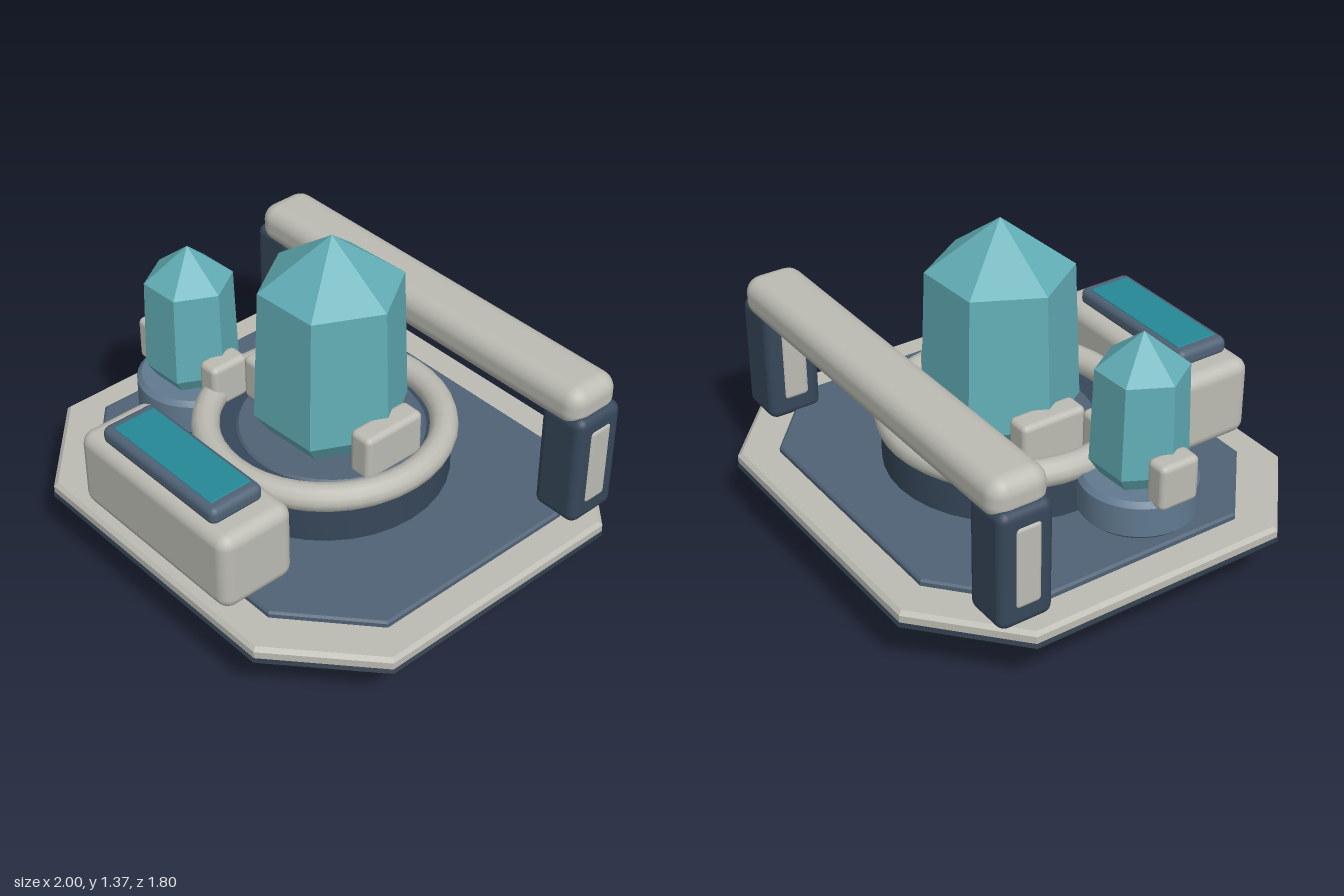
import * as THREE from 'three';
import { toCreasedNormals } from 'three/addons/utils/BufferGeometryUtils.js';
import { RoundedBoxGeometry } from 'three/addons/geometries/RoundedBoxGeometry.js';

const mat = (color, flatShading = false) => new THREE.MeshStandardMaterial({ color, flatShading });
const M = {
  hull: mat(0x263240),
  post: mat(0x36475a),
  deck: mat(0x4f6275),
  socket: mat(0x617a90),
  shell: mat(0xbcbcb4),
  screen: mat(0x268896),
  crystal: mat(0x62adb6, true),
};

function add(parent, name, geometry, material, x = 0, y = 0, z = 0) {
  const mesh = new THREE.Mesh(geometry, material);
  mesh.name = name;
  mesh.position.set(x, y, z);
  parent.add(mesh);
  return mesh;
}

// Rounded box given by its low and high corners
function box(parent, name, material, [x0, y0, z0], [x1, y1, z1], r, seg = 3) {
  const g = new RoundedBoxGeometry(x1 - x0, y1 - y0, z1 - z0, seg, r);
  return add(parent, name, g, material, (x0 + x1) / 2, (y0 + y1) / 2, (z0 + z1) / 2);
}

// Closed loft of a chamfered rectangle; each level is [y, halfX, halfZ, cornerX, cornerZ]
function octagonLoft(levels) {
  const pos = [], idx = [];
  for (const [y, hx, hz, cx, cz] of levels) {
    const ring = [[hx, cz], [cx, hz], [-cx, hz], [-hx, cz], [-hx, -cz], [-cx, -hz], [cx, -hz], [hx, -cz]];
    for (const [x, z] of ring) pos.push(x, y, z);
  }
  for (let l = 0; l < levels.length - 1; l++) {
    for (let i = 0; i < 8; i++) {
      const a = l * 8 + i, b = l * 8 + (i + 1) % 8;
      idx.push(a, a + 8, b, b, a + 8, b + 8);
    }
  }
  const top = (levels.length - 1) * 8;
  for (let i = 1; i < 7; i++) {
    idx.push(0, i, i + 1);
    idx.push(top, top + i + 1, top + i);
  }
  const g = new THREE.BufferGeometry();
  g.setAttribute('position', new THREE.Float32BufferAttribute(pos, 3));
  g.setIndex(idx);
  return toCreasedNormals(g, 0.3);
}

// Disc with bevelled edges
function disc(r, y0, y1, bevel) {
  const profile = [[0, y0], [r - bevel, y0], [r, y0 + bevel], [r, y1 - bevel], [r - bevel, y1], [0, y1]];
  const g = new THREE.LatheGeometry(profile.map(([x, y]) => new THREE.Vector2(x, y)), 36);
  return toCreasedNormals(g, 0.5);
}

// Six-sided crystal: narrow foot, slightly tapering shaft, pointed tip
function crystal(levels, turn) {
  const g = new THREE.LatheGeometry(levels.map(([r, y]) => new THREE.Vector2(r, y)), 6);
  g.rotateY(Math.PI / 2 + turn);
  return g;
}

export function createModel() {
  const model = new THREE.Group();
  model.name = 'crystalStation';

  // Hull, rim and deck
  add(model, 'hull', octagonLoft([
    [0, 0.74, 0.68, 0.465, 0.42],
    [0.012, 0.775, 0.715, 0.485, 0.44],
    [0.222, 0.995, 0.895, 0.617, 0.555],
    [0.232, 1, 0.9, 0.62, 0.56],
    [0.24, 0.98, 0.88, 0.61, 0.55],
  ]), M.hull);
  add(model, 'rim', octagonLoft([
    [0.238, 0.98, 0.88, 0.61, 0.55],
    [0.25, 0.995, 0.895, 0.618, 0.558],
    [0.28, 0.995, 0.895, 0.618, 0.558],
    [0.295, 0.98, 0.88, 0.61, 0.55],
  ]), M.shell);
  add(model, 'deck', octagonLoft([
    [0.29, 0.86, 0.75, 0.53, 0.46],
    [0.312, 0.86, 0.75, 0.53, 0.46],
    [0.32, 0.85, 0.742, 0.526, 0.456],
  ]), M.deck);

  // Central pedestal with its ring
  add(model, 'pedestal', disc(0.505, 0.31, 0.475, 0.01), M.post);
  const ring = add(model, 'pedestalRing', new THREE.TorusGeometry(0.474, 0.057, 12, 40), M.shell, 0, 0.513, 0);
  ring.rotation.x = Math.PI / 2;

  // Large crystal, socket and clamps
  const large = new THREE.Group();
  large.name = 'largeCrystal';
  large.position.z = -0.035;
  model.add(large);
  add(large, 'largeSocket', disc(0.38, 0.46, 0.49, 0.01), M.deck);
  add(large, 'largeShaft', crystal([[0, 0.485], [0.25, 0.485], [0.314, 0.575], [0.29, 1.15], [0, 1.365]], 0.05), M.crystal);
  for (const s of [-1, 1]) {
    box(large, 'largeClamp', M.shell, [s * 0.317 - 0.055, 0.475, -0.145], [s * 0.317 + 0.055, 0.675, 0.145], 0.025);
  }

  // Small crystal, socket and clamps
  const small = new THREE.Group();
  small.name = 'smallCrystal';
  small.position.set(-0.62, 0, 0.172);
  model.add(small);
  add(small, 'smallSocket', disc(0.233, 0.335, 0.5, 0.02), M.socket);
  add(small, 'smallShaft', crystal([[0, 0.495], [0.145, 0.495], [0.192, 0.565], [0.18, 0.955], [0, 1.105]], 0.04), M.crystal);
  for (const s of [-1, 1]) {
    box(small, 'smallClamp', M.shell, [s * 0.202 - 0.05, 0.475, -0.088], [s * 0.202 + 0.05, 0.67, 0.088], 0.025);
  }

  // Rear posts with inlaid side panels, joined by a crossbar
  for (const s of [-1, 1]) {
    box(model, 'rearPost', M.post, [s * 0.833 - 0.105, 0.3, -0.673], [s * 0.833 + 0.105, 0.8, -0.44], 0.04);
    box(model, 'postPanel', M.shell, [s * 0.833 - 0.112, 0.385, -0.612], [s * 0.833 + 0.112, 0.735, -0.498], 0.02);
  }
  box(model, 'crossbar', M.shell, [-0.912, 0.74, -0.682], [0.912, 0.913, -0.432], 0.07);

  // Front console with framed screen
  box(model, 'console', M.shell, [-0.44, 0.315, 0.537], [0.44, 0.66, 0.875], 0.055);
  box(model, 'screenFrame', M.deck, [-0.335, 0.645, 0.593], [0.335, 0.722, 0.836], 0.03);
  box(model, 'screen', M.screen, [-0.29, 0.69, 0.617], [0.29, 0.726, 0.806], 0.004, 1);

  return model;
}
